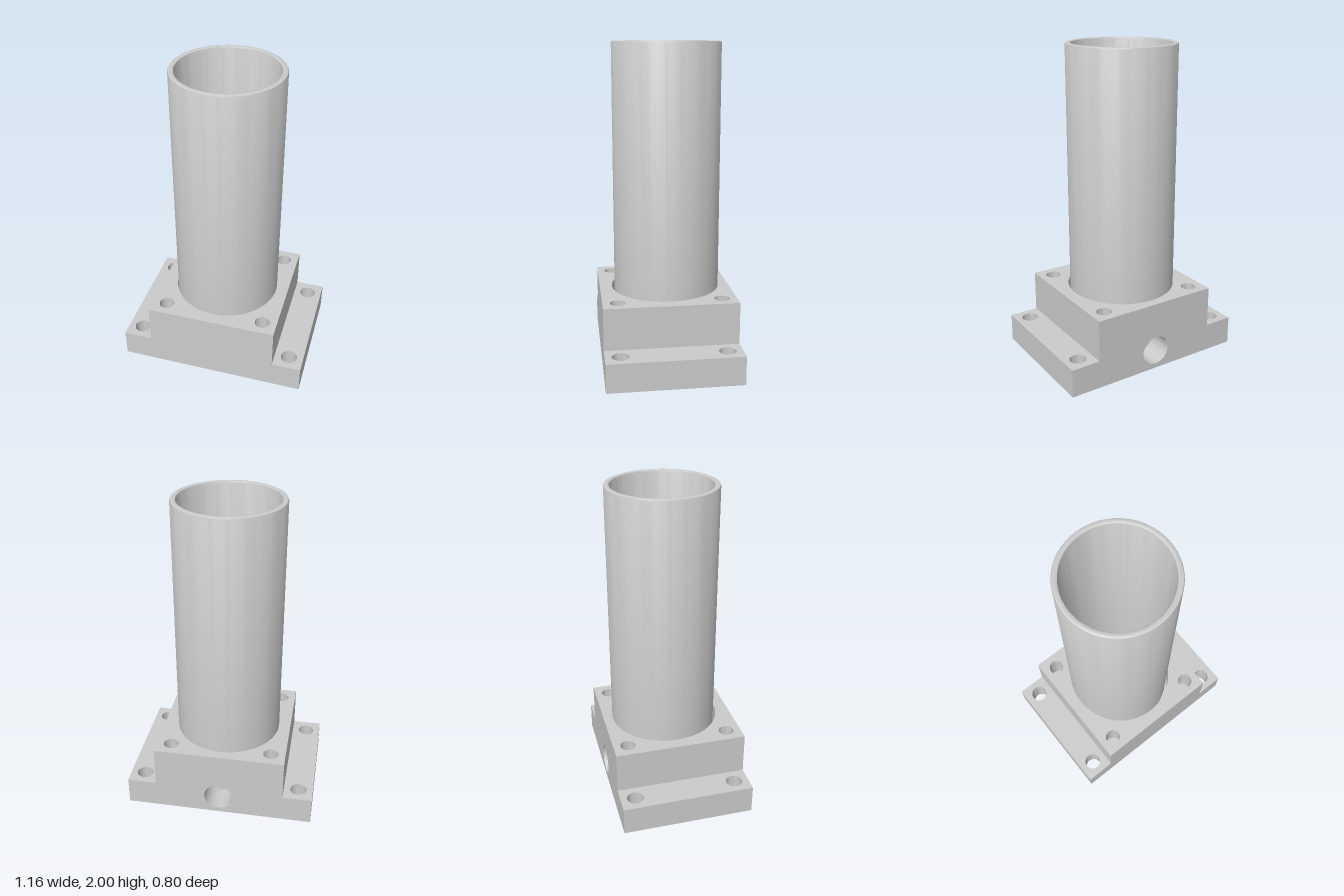
import * as THREE from 'three';
import { toCreasedNormals } from 'three/addons/utils/BufferGeometryUtils.js';

const material = new THREE.MeshStandardMaterial({ color: 0xcccccc });

// Main sizes
const BASE_Y = 0.08, STEP_Y = 0.255, TOP_Y = 0.51, FLOOR_Y = 0.36;
const BASE_X = 0.58, BLOCK_X = 0.4, HALF_Z = 0.4;
const SOCKET_R = 0.325, BORE_R = 0.073, BOSS_R = 0.18;
const PORT = { y: 0.2, r: 0.09, end: -0.23 };
const DUCT = { z: -0.23, r: 0.036 };
const FLANGE_HOLE = { x: 0.49, z: 0.31, r: 0.05 };
const SCREW_HOLE = { x: 0.31, z: 0.31, r: 0.046 };

const UP = [-Math.PI / 2, 0], DOWN = [Math.PI / 2, 0];
const FRONT = [0, 0], BACK = [0, Math.PI], LEFT = [0, Math.PI / 2], RIGHT = [0, -Math.PI / 2];

export function createModel() {
  const group = new THREE.Group();

  const add = (name, geometry, x = 0, y = 0, z = 0) => {
    const mesh = new THREE.Mesh(geometry, material);
    mesh.name = name;
    mesh.position.set(x, y, z);
    group.add(mesh);
    return mesh;
  };

  const outline = (points) => new THREE.Shape(points.map(([x, y]) => new THREE.Vector2(x, y)));
  const rect = (x0, x1, y0, y1) => outline([[x0, y0], [x1, y0], [x1, y1], [x0, y1]]);
  const disc = (r) => new THREE.Shape().absarc(0, 0, r, 0, Math.PI * 2, false);

  // Flat face with round holes, each given as [x, y, radius]
  const panel = (name, shape, [rx, ry], position, holes = []) => {
    for (const [x, y, r] of holes) {
      shape.holes.push(new THREE.Path().absarc(x, y, r, 0, Math.PI * 2, true));
    }
    const mesh = add(name, new THREE.ShapeGeometry(shape, 48), ...position);
    mesh.rotation.set(rx, ry, 0);
  };

  // Turned surface: a profile running down faces inwards, running up faces outwards
  const turned = (name, profile, x = 0, y = 0, z = 0, segments = 64) => {
    const points = profile.map(([r, h]) => new THREE.Vector2(r, h));
    const geometry = toCreasedNormals(new THREE.LatheGeometry(points, segments), 0.6);
    return add(name, geometry, x, y, z);
  };

  const corners = ({ x, z, r }) =>
    [[x, z, r], [-x, z, r], [x, -z, r], [-x, -z, r]];

  // Mounting block: stepped front and back, the back one with the side port
  const steppedFace = () => outline([
    [-BASE_X, BASE_Y], [BASE_X, BASE_Y], [BASE_X, STEP_Y], [BLOCK_X, STEP_Y],
    [BLOCK_X, TOP_Y], [-BLOCK_X, TOP_Y], [-BLOCK_X, STEP_Y], [-BASE_X, STEP_Y],
  ]);
  panel('blockFront', steppedFace(), FRONT, [0, 0, HALF_Z]);
  panel('blockBack', steppedFace(), BACK, [0, 0, -HALF_Z], [[0, PORT.y, PORT.r]]);

  // Mounting block: underside and top
  panel('baseUnderside', rect(-BASE_X, BASE_X, -HALF_Z, HALF_Z), DOWN, [0, BASE_Y, 0],
    [...corners(FLANGE_HOLE), [0, 0, BOSS_R]]);
  panel('blockTop', rect(-BLOCK_X, BLOCK_X, -HALF_Z, HALF_Z), UP, [0, TOP_Y, 0],
    [...corners(SCREW_HOLE), [0, 0, SOCKET_R]]);

  // Both flanges and the block sides above them
  for (const s of [1, -1]) {
    const side = s > 0 ? LEFT : RIGHT;
    const xs = [s * BLOCK_X, s * BASE_X].sort((a, b) => a - b);
    panel('flangeTop', rect(...xs, -HALF_Z, HALF_Z), UP, [0, STEP_Y, 0],
      corners(FLANGE_HOLE).filter(([x]) => x * s > 0));
    panel('flangeSide', rect(-HALF_Z, HALF_Z, BASE_Y, STEP_Y), side, [s * BASE_X, 0, 0]);
    panel('blockSide', rect(-HALF_Z, HALF_Z, STEP_Y, TOP_Y), side, [s * BLOCK_X, 0, 0]);
  }

  // Through holes in the flanges and blind screw holes in the block
  for (const [x, z, r] of corners(FLANGE_HOLE)) {
    turned('flangeHole', [[r, STEP_Y], [r, BASE_Y]], x, 0, z, 32);
  }
  for (const [x, z, r] of corners(SCREW_HOLE)) {
    turned('screwHole', [[r, TOP_Y], [r, 0.3], [0, 0.3]], x, 0, z, 32);
  }

  // Socket for the tube, with the bore and the air duct in its floor
  turned('socketWall', [[SOCKET_R, TOP_Y], [SOCKET_R, FLOOR_Y]]);
  panel('socketFloor', disc(SOCKET_R), UP, [0, FLOOR_Y, 0],
    [[0, 0, BORE_R], [0, -DUCT.z, DUCT.r]]);

  // Side port from the back, met by the small duct from above
  turned('sidePort', [[PORT.r, -HALF_Z * -1], [PORT.r, -PORT.end], [0, -PORT.end]], 0, PORT.y, 0, 40)
    .rotation.x = -Math.PI / 2;
  turned('airDuct', [[DUCT.r, FLOOR_Y], [DUCT.r, PORT.y + 0.08]], 0, 0, DUCT.z, 24);

  // Centre bore widening downwards, and the round boss below the base
  turned('boreAndBoss', [
    [BORE_R, FLOOR_Y], [BORE_R, 0.15], [0.12, 0.15], [0.12, 0], [BOSS_R, 0], [BOSS_R, BASE_Y],
  ]);

  // Tall tube with softened rim, set slightly towards the back
  turned('tube', [
    [0.29, FLOOR_Y], [0.324, FLOOR_Y], [0.324, 1.99], [0.321, 1.997], [0.314, 2],
    [0.3, 2], [0.293, 1.997], [0.29, 1.99], [0.29, FLOOR_Y],
  ], -0.003, 0, -0.017, 96);

  return group;
}
